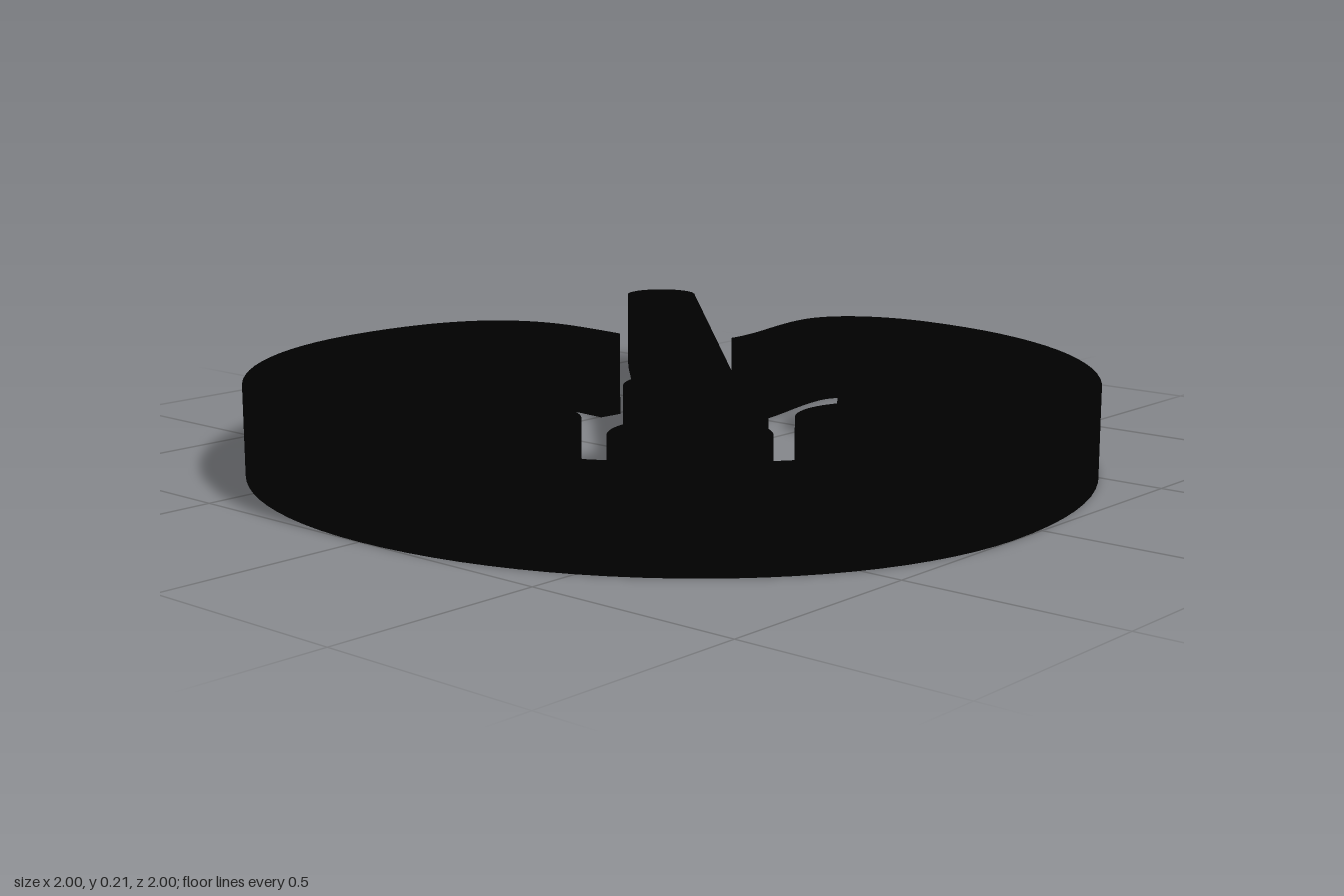
import * as THREE from 'three';
import { toCreasedNormals } from 'three/addons/utils/BufferGeometryUtils.js';

const HEIGHT = 0.214;
const WALL = 0.067;
const material = new THREE.MeshStandardMaterial({ color: 0x000000 });

// Plan coordinates are (x, z); shapes are drawn with y = -z and laid flat.
const V = (x, z) => new THREE.Vector2(x, -z);

// Outlines are made counter-clockwise so that hole walls face into the hole
function slab(name, outline, holes = []) {
  const shape = new THREE.Shape(THREE.ShapeUtils.isClockWise(outline) ? [...outline].reverse() : outline);
  shape.holes = holes.map((h) => new THREE.Path(h));
  const geo = new THREE.ExtrudeGeometry(shape, { depth: HEIGHT, bevelEnabled: false });
  geo.rotateX(-Math.PI / 2);
  const mesh = new THREE.Mesh(toCreasedNormals(geo, 0.6), material);
  mesh.name = name;
  return mesh;
}

// Chain of cubic curves: start point, then [c1x, c1z, c2x, c2z, x, z] per curve
function curvePoints(start, curves, divisions) {
  const points = [V(...start)];
  for (const [a, b, c, d, e, f] of curves) {
    const curve = new THREE.CubicBezierCurve(points[points.length - 1], V(a, b), V(c, d), V(e, f));
    points.push(...curve.getPoints(divisions).slice(1));
  }
  return points;
}

// Closed outline around an open centre line
function ribbon(points, width) {
  const left = [], right = [];
  points.forEach((p, i) => {
    const before = points[Math.max(i - 1, 0)];
    const after = points[Math.min(i + 1, points.length - 1)];
    const t = after.clone().sub(before).normalize();
    const n = new THREE.Vector2(-t.y, t.x).multiplyScalar(width / 2);
    left.push(p.clone().add(n));
    right.push(p.clone().sub(n));
  });
  return [...left, ...right.reverse()];
}

function ellipse(x, z, rx, rz, tilt = 0) {
  return new THREE.EllipseCurve(x, -z, rx, rz, 0, Math.PI * 2, false, tilt).getPoints(64).slice(0, -1);
}

export function createModel() {
  const model = new THREE.Group();
  model.name = 'paintPalette';

  // Palette rim, open at the upper right where the brush passes
  const rim = curvePoints([0.278, -0.49], [
    [0.283, -0.54, 0.287, -0.59, 0.289, -0.64],
    [0.3, -0.87, 0.16, -0.965, -0.12, -0.965],
    [-0.58, -0.965, -0.966, -0.53, -0.966, 0],
    [-0.966, 0.54, -0.59, 0.966, -0.107, 0.966],
    [0.507, 0.966, 0.966, 0.52, 0.966, 0],
    [0.966, -0.143, 0.9, -0.238, 0.807, -0.238],
    [0.685, -0.238, 0.567, -0.182, 0.449, -0.19],
  ], 24);
  model.add(slab('paletteRim', ribbon(rim, WALL)));

  // Thumb hole ring
  model.add(slab('thumbHole',
    ellipse(-0.061, -0.583, 0.199, 0.245, -0.51),
    [ellipse(-0.061, -0.583, 0.132, 0.178, -0.51)]));

  // Paint wells
  const wells = [
    [-0.588, -0.345], [-0.658, 0.067], [-0.513, 0.473],
    [-0.128, 0.66], [0.31, 0.548], [0.599, 0.222],
  ];
  wells.forEach(([x, z], i) => {
    model.add(slab(`paintWell${i + 1}`, ellipse(x, z, 0.171, 0.171), [ellipse(x, z, 0.104, 0.104)]));
  });

  const brush = new THREE.Group();
  brush.name = 'brush';
  model.add(brush);

  // Bristle head: teardrop with a teardrop opening
  const headOuter = curvePoints([-0.31, 0.27], [
    [-0.3, 0.083, -0.219, -0.035, -0.102, -0.035],
    [-0.005, -0.035, 0.064, 0.04, 0.064, 0.131],
    [0.064, 0.254, -0.064, 0.34, -0.246, 0.34],
  ], 16);
  headOuter.push(V(-0.31, 0.34));
  const headInner = curvePoints([-0.241, 0.27], [
    [-0.235, 0.136, -0.187, 0.035, -0.102, 0.035],
    [-0.043, 0.035, -0.003, 0.078, -0.003, 0.131],
    [-0.003, 0.211, -0.112, 0.265, -0.241, 0.27],
  ], 16).slice(0, -1);
  brush.add(slab('bristleHead', headOuter, [headInner]));

  // Handle runs diagonally: u along it, v across it
  const S = Math.SQRT1_2;
  const at = (u, v) => V(0.016 + (u + v) * S, 0.016 + (v - u) * S);
  const capped = (u0, u1, r) => {
    const points = [at(u0, -r)];
    for (let i = 0; i <= 20; i++) {
      const a = -Math.PI / 2 + (Math.PI * i) / 20;
      points.push(at(u1 + r * Math.cos(a), r * Math.sin(a)));
    }
    points.push(at(u0, r));
    return points;
  };
  const windowHole = [at(0.014, -0.037), at(0.092, -0.037), at(0.092, 0.037), at(0.014, 0.037)];
  brush.add(slab('brushHandle', capped(-0.035, 1.253, 0.097), [capped(0.15, 1.253, 0.033), windowHole]));

  return model;
}
